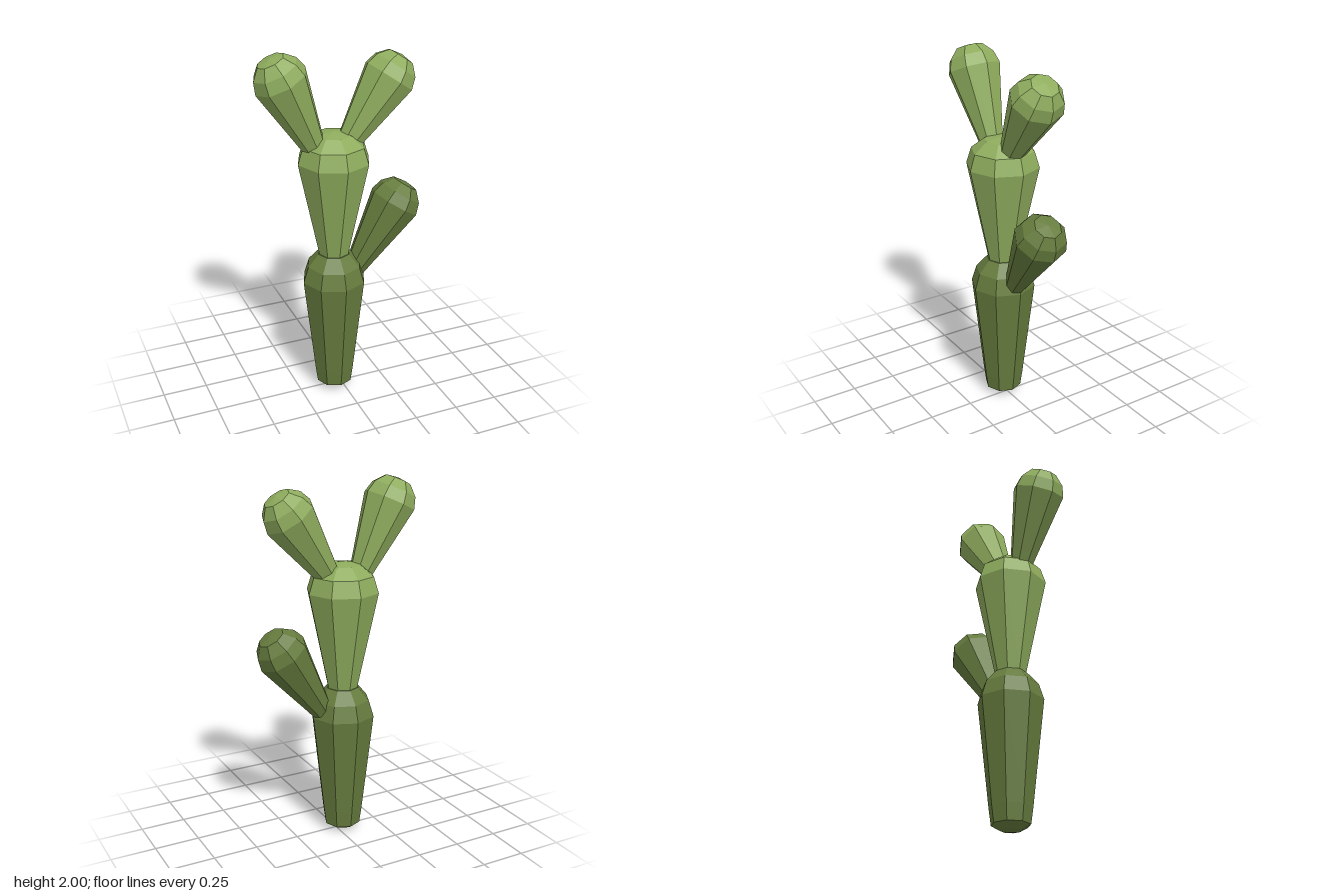
import * as THREE from 'three';

const darkGreen = new THREE.MeshStandardMaterial({ color: 0x667c3e, flatShading: true });
darkGreen.name = 'dark green';
const lightGreen = new THREE.MeshStandardMaterial({ color: 0x8eac5d, flatShading: true });
lightGreen.name = 'light green';

// Eight-sided faceted cactus segment turned from [radius, height] pairs
function segment(name, profile, material) {
  const points = profile.map(([r, y]) => new THREE.Vector2(r, y));
  const mesh = new THREE.Mesh(new THREE.LatheGeometry(points, 8), material);
  mesh.name = name;
  return mesh;
}

// Arm profile, with height 0 at the widest ring
const armProfile = [
  [0, -0.45], [0.03, -0.445], [0.06, -0.43], [0.075, -0.35],
  [0.145, 0], [0.125, 0.065], [0.075, 0.118], [0, 0.13],
];

// Arm leaning sideways; x and y place its widest ring, lean is in degrees towards +x
function arm(name, x, y, lean, material) {
  const mesh = segment(name, armProfile, material);
  mesh.position.set(x, y, 0);
  mesh.rotation.z = -THREE.MathUtils.degToRad(lean);
  return mesh;
}

export function createModel() {
  const cactus = new THREE.Group();
  cactus.name = 'cactus';

  // Stacked trunk segments
  const lowerTrunk = segment('lowerTrunk', [
    [0, 0], [0.055, 0.01], [0.103, 0.038], [0.115, 0.125],
    [0.18, 0.7], [0.152, 0.79], [0.09, 0.86], [0, 0.875],
  ], darkGreen);
  const upperTrunk = segment('upperTrunk', [
    [0, 0.8], [0.075, 0.81], [0.085, 0.86],
    [0.2, 1.4], [0.172, 1.488], [0.1, 1.545], [0, 1.56],
  ], lightGreen);
  for (const trunk of [lowerTrunk, upperTrunk]) {
    trunk.position.x = -0.04;
    cactus.add(trunk);
  }

  // Arms
  cactus.add(
    arm('lowerLeftArm', 0.32, 1.1, 33, darkGreen),
    arm('upperLeftArm', 0.27, 1.82, 34.5, lightGreen),
    arm('upperRightArm', -0.322, 1.86, -25, lightGreen),
  );
  return cactus;
}
